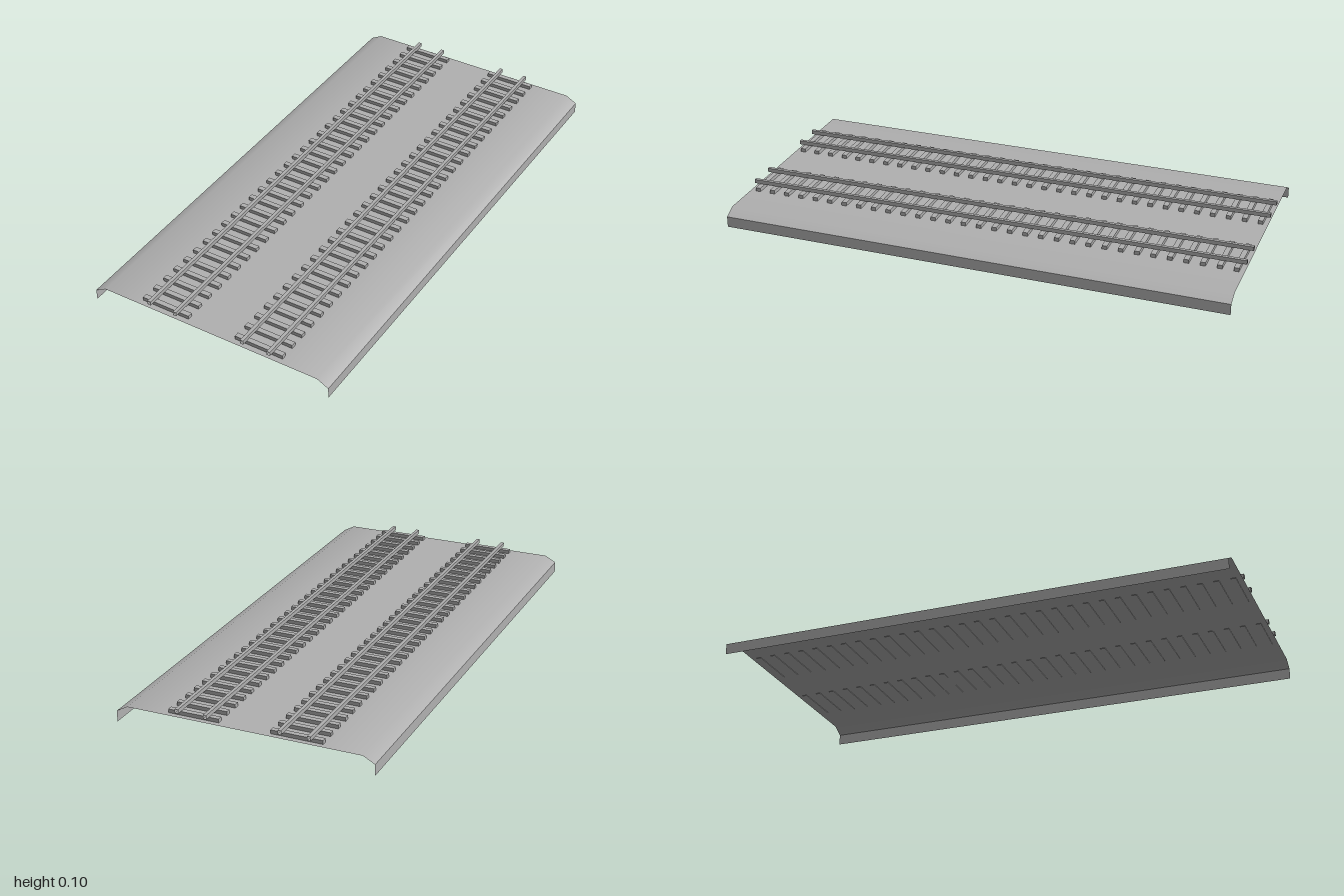
import * as THREE from 'three';

// Open sheet swept along z from profile points [x, y, nx, ny], ordered from -x over the top to +x
function sweep(points, length) {
  const pos = [], nor = [], idx = [];
  points.forEach(([x, y, nx, ny], i) => {
    for (const z of [-length / 2, length / 2]) {
      pos.push(x, y, z);
      nor.push(nx, ny, 0);
    }
    const a = i * 2;
    if (i < points.length - 1) idx.push(a, a + 1, a + 2, a + 2, a + 1, a + 3);
  });
  const g = new THREE.BufferGeometry();
  g.setAttribute('position', new THREE.Float32BufferAttribute(pos, 3));
  g.setAttribute('normal', new THREE.Float32BufferAttribute(nor, 3));
  g.setIndex(idx);
  return g;
}

export function createModel() {
  const group = new THREE.Group();
  const grey = new THREE.MeshStandardMaterial({ color: 0xb0b0b0, side: THREE.DoubleSide });
  grey.name = 'grey';

  const add = (name, geometry, parent, x = 0, y = 0, z = 0) => {
    const mesh = new THREE.Mesh(geometry, grey);
    mesh.name = name;
    mesh.position.set(x, y, z);
    parent.add(mesh);
  };

  // Track bed: flat deck with soft sloping shoulders and upright edges, open at both ends
  const half = [[0.5, 0, 1, 0], [0.5, 0.043, 1, 0], [0.5, 0.043, 0.45, 0.89], [0.455, 0.067, 0.2, 0.98], [0.3, 0.067, 0, 1]];
  const mirrored = half.map(([x, y, nx, ny]) => [-x, y, -nx, ny]);
  add('trackBed', sweep([...mirrored, ...half.reverse()], 2), group);

  // Rail: hollow bar without end faces
  const w = 0.0065, h = 0.016;
  const railGeometry = sweep([
    [w, 0, 0, -1], [-w, 0, 0, -1],
    [-w, 0, -1, 0], [-w, h, -1, 0],
    [-w, h, 0, 1], [w, h, 0, 1],
    [w, h, 1, 0], [w, 0, 1, 0],
  ], 2);
  const sleeperGeometry = new THREE.BoxGeometry(0.2, 0.0165, 0.02);

  // Two parallel tracks
  for (const side of [-1, 1]) {
    const track = new THREE.Group();
    track.name = side > 0 ? 'leftTrack' : 'rightTrack';
    track.position.x = side * 0.2;
    for (const x of [-0.056, 0.056]) add('rail', railGeometry, track, x, 0.0813);
    for (let i = 0; i < 32; i++) add('sleeper', sleeperGeometry, track, 0, 0.0732, -0.97 + i * 0.0625);
    group.add(track);
  }
  return group;
}
